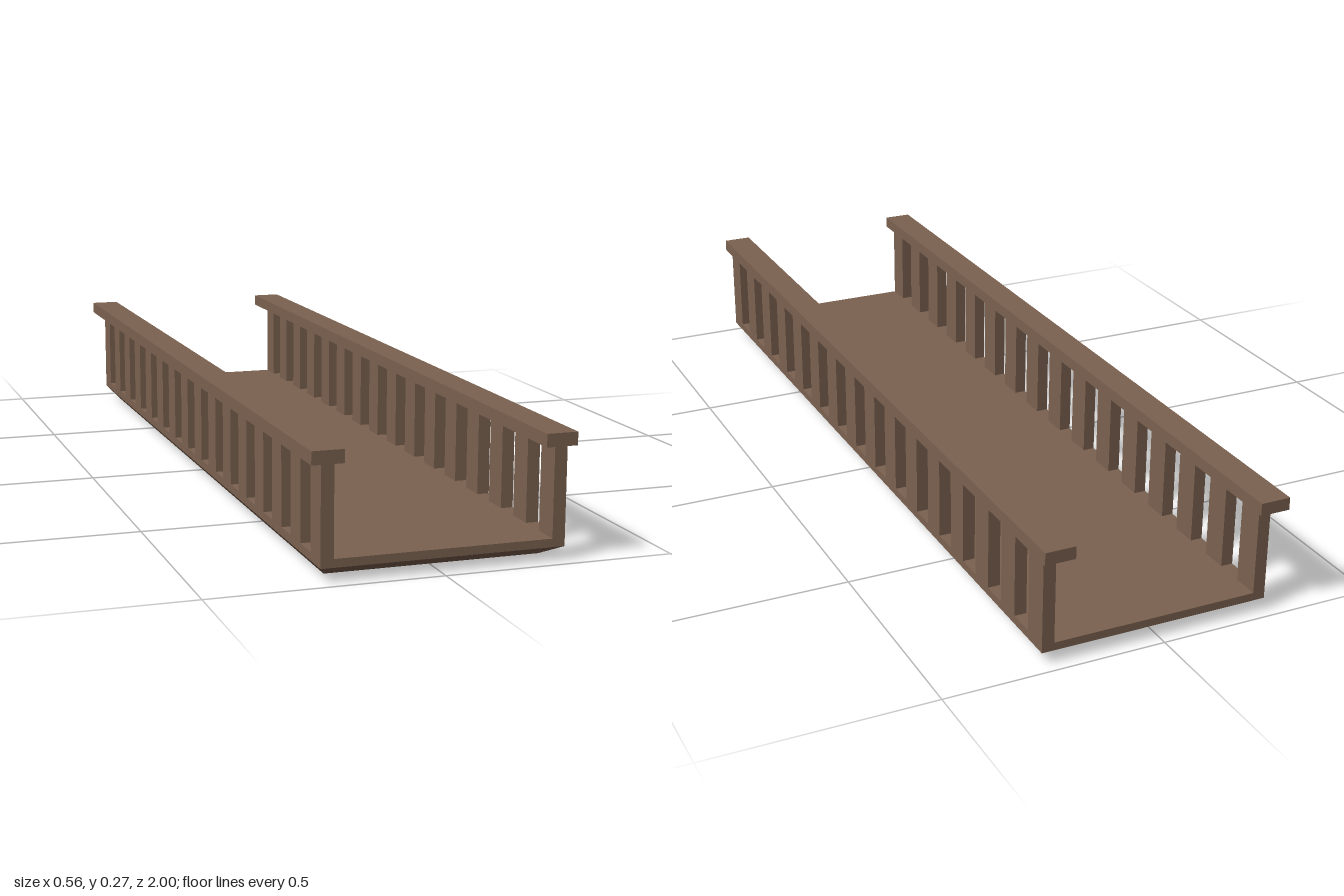
import * as THREE from 'three';

export function createModel() {
  const wood = new THREE.MeshStandardMaterial({ color: 0x7c6250 });
  wood.name = 'brown wood';
  const bridge = new THREE.Group();
  bridge.name = 'bridge';

  const add = (name, geometry, x, y, z, parent = bridge) => {
    const mesh = new THREE.Mesh(geometry, wood);
    mesh.name = name;
    mesh.position.set(x, y, z);
    parent.add(mesh);
    return mesh;
  };

  const centreX = 0.008; // the deck sits slightly off the rails' centre line
  const width = 0.524, length = 1.95;

  // Deck slab
  add('deck', new THREE.BoxGeometry(width, 0.018, length), centreX, 0.039, 0);

  // Underside: a shallow block whose lower edges are drawn inwards
  const base = new THREE.BoxGeometry(width, 0.03, length);
  const p = base.attributes.position;
  for (let i = 0; i < p.count; i++) {
    if (p.getY(i) < 0) {
      p.setX(i, p.getX(i) - Math.sign(p.getX(i)) * 0.028);
      p.setZ(i, p.getZ(i) - Math.sign(p.getZ(i)) * 0.063);
    }
  }
  base.computeVertexNormals();
  add('underside', base, centreX, 0.015, 0);

  // Railings: a row of square-cut posts under a wide handrail
  const postGeometry = new THREE.BoxGeometry(0.0275, 0.194, 0.063);
  const railGeometry = new THREE.BoxGeometry(0.068, 0.028, 2);
  const postCount = 16, lastPostZ = 0.9435;
  for (const side of [-1, 1]) {
    const railing = new THREE.Group();
    railing.name = side > 0 ? 'leftRailing' : 'rightRailing';
    bridge.add(railing);
    add('handrail', railGeometry, side * 0.247 - 0.001, 0.259, 0, railing);
    for (let i = 0; i < postCount; i++) {
      const z = lastPostZ * (1 - (2 * i) / (postCount - 1));
      add('post', postGeometry, centreX + side * 0.24825, 0.145, z, railing);
    }
  }
  return bridge;
}
